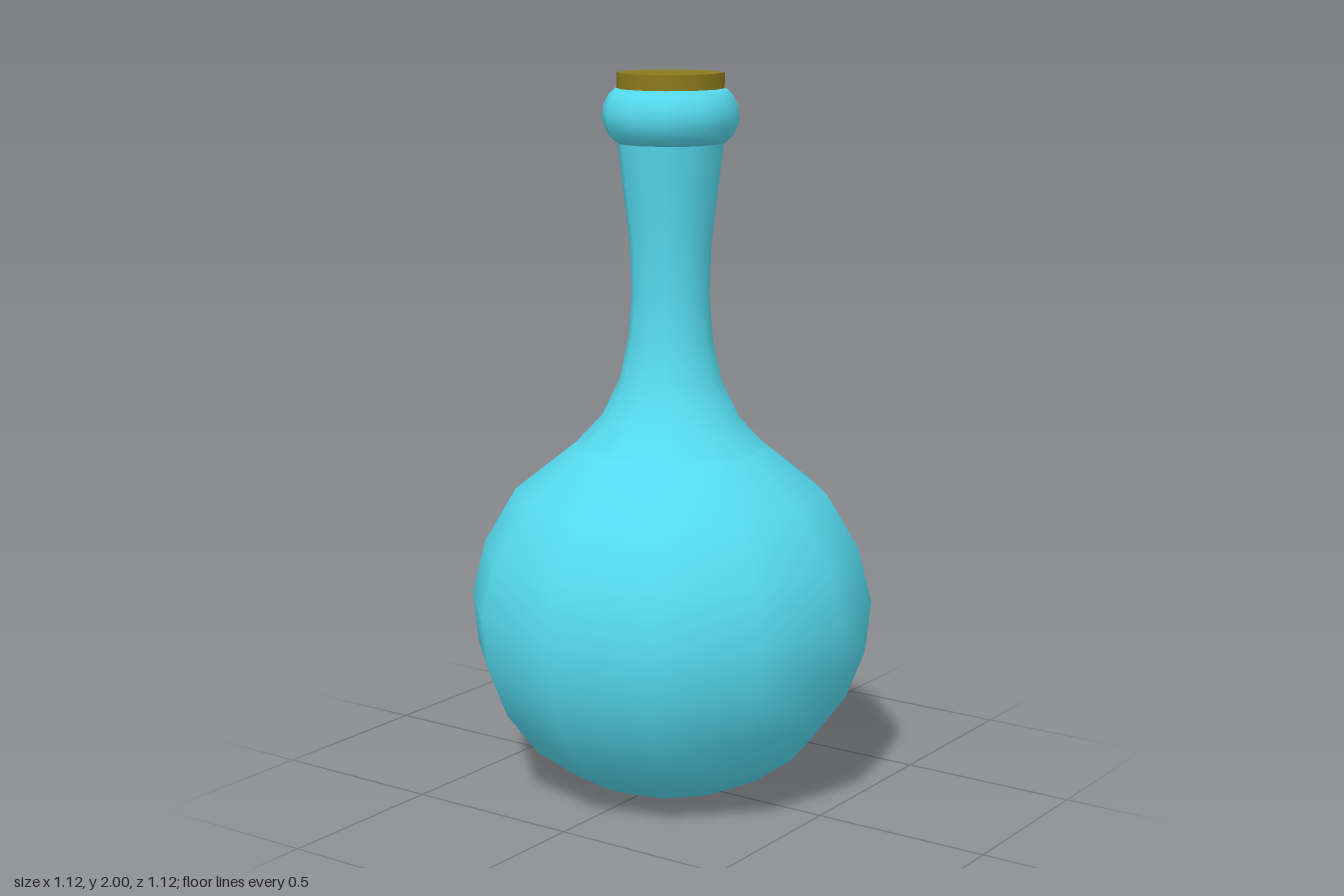
import * as THREE from 'three';

const SIDES = 12;
const glass = new THREE.MeshStandardMaterial({ color: 0x55daee });
const cork = new THREE.MeshStandardMaterial({ color: 0x8b7a1c });

// Turned part from [radius, height] pairs, listed bottom to top
function turned(name, profile) {
  const points = profile.map(([r, y]) => new THREE.Vector2(r, y));
  const mesh = new THREE.Mesh(new THREE.LatheGeometry(points, SIDES), glass);
  mesh.name = name;
  return mesh;
}

export function createModel() {
  const bottle = new THREE.Group();
  bottle.name = 'bottle';

  // Round belly with a softly flattened base
  bottle.add(turned('belly', [
    [0, 0], [0.13, 0.004], [0.21, 0.02], [0.29, 0.056], [0.405, 0.14],
    [0.495, 0.26], [0.547, 0.395], [0.562, 0.54], [0.525, 0.69],
    [0.435, 0.845], [0.265, 0.98],
  ]));

  // Waisted neck, flaring at both ends
  bottle.add(turned('neck', [
    [0.265, 0.98], [0.19, 1.06], [0.14, 1.165], [0.116, 1.28],
    [0.107, 1.4], [0.112, 1.54], [0.13, 1.69], [0.147, 1.83],
  ]));

  // Rounded collar at the mouth, closed under the stopper
  bottle.add(turned('collar', [
    [0.13, 1.81], [0.148, 1.812], [0.168, 1.83], [0.182, 1.858],
    [0.187, 1.885], [0.182, 1.915], [0.168, 1.942], [0.15, 1.958], [0, 1.958],
  ]));

  // Stopper
  const stopper = new THREE.Mesh(new THREE.CylinderGeometry(0.146, 0.146, 0.1, SIDES), cork);
  stopper.name = 'stopper';
  stopper.position.y = 1.95;
  bottle.add(stopper);

  return bottle;
}
